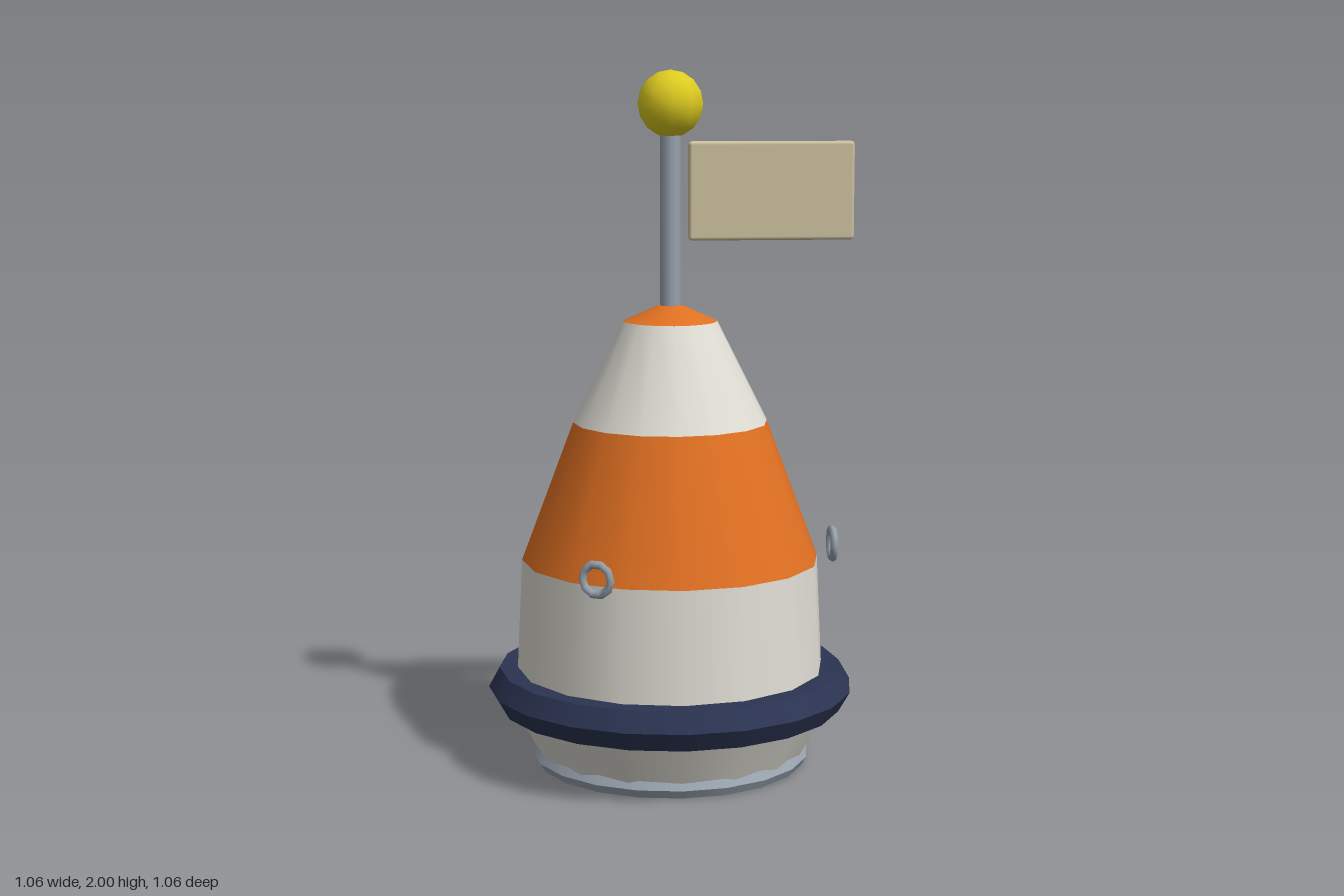
import * as THREE from 'three';
import { mergeGeometries } from 'three/addons/utils/BufferGeometryUtils.js';
import { RoundedBoxGeometry } from 'three/addons/geometries/RoundedBoxGeometry.js';

const paint = (name, color) => {
  const m = new THREE.MeshStandardMaterial({ color });
  m.name = name;
  return m;
};

// Revolves a [radius, height] profile: smooth around, sharp between profile segments
function bandedLathe(profile, sides) {
  const pts = profile.map(([r, y]) => new THREE.Vector2(r, y));
  return mergeGeometries(
    pts.slice(1).map((p, i) => new THREE.LatheGeometry([pts[i], p], sides))
  );
}

// Ring with a hexagonal cross-section, flat on top and bottom
function hexRing(radius, tube, y, sides) {
  const profile = [];
  for (let i = 0; i <= 6; i++) {
    const a = (i * Math.PI) / 3;
    profile.push([radius + tube * Math.cos(a), y + tube * Math.sin(a)]);
  }
  return bandedLathe(profile, sides);
}

export function createModel() {
  const orange = paint('orange', 0xe07022);
  const white = paint('white', 0xe0ddd4);
  const navy = paint('navy', 0x2b3452);
  const steel = paint('steel', 0x98a3ae);
  const yellow = paint('yellow', 0xdecb20);
  const cream = paint('cream', 0xcfc3a0);

  const model = new THREE.Group();
  const add = (name, geometry, material, parent = model) => {
    const mesh = new THREE.Mesh(geometry, material);
    mesh.name = name;
    parent.add(mesh);
    return mesh;
  };

  // Hull in coloured bands, bottom to top
  add('hullBottom', bandedLathe([[0, 0.02], [0.382, 0.02]], 16), orange);
  add('lowerHull', bandedLathe([[0.382, 0.02], [0.46, 0.17], [0.447, 0.25], [0.43, 0.6]], 16), white);
  add('middleBand', bandedLathe([[0.43, 0.6], [0.28, 1.0]], 16), orange);
  add('upperBand', bandedLathe([[0.28, 1.0], [0.135, 1.29]], 16), white);
  add('hullCap', bandedLathe([[0.135, 1.29], [0.035, 1.335], [0, 1.335]], 16), orange);

  // Rings around the hull
  add('bumper', hexRing(0.465, 0.065, 0.225, 20), navy);
  add('footRing', hexRing(0.376, 0.029, 0.025, 20), steel);

  // Mast with ball on top
  const mast = add('mast', new THREE.CylinderGeometry(0.03, 0.03, 0.52, 10), steel);
  mast.position.y = 1.58;
  const ball = add('topBall', new THREE.SphereGeometry(0.095, 10, 8), yellow);
  ball.position.y = 1.905;
  ball.rotation.y = Math.PI / 2;

  // Flag plate beside the mast
  const flag = add('flag', new RoundedBoxGeometry(0.475, 0.28, 0.026, 1, 0.01), cream);
  flag.position.set(0.2875, 1.66, 0.01);

  // Three lifting eyes standing off the hull
  for (let i = 0; i < 3; i++) {
    const pivot = new THREE.Group();
    pivot.name = 'liftingEye' + (i + 1);
    pivot.rotation.y = (i * Math.PI * 2) / 3;
    model.add(pivot);
    const eye = add('eyeRing', new THREE.TorusGeometry(0.043, 0.012, 6, 10), steel, pivot);
    eye.position.set(0.475, 0.632, 0);
    eye.rotation.y = Math.PI / 2;
  }

  return model;
}
